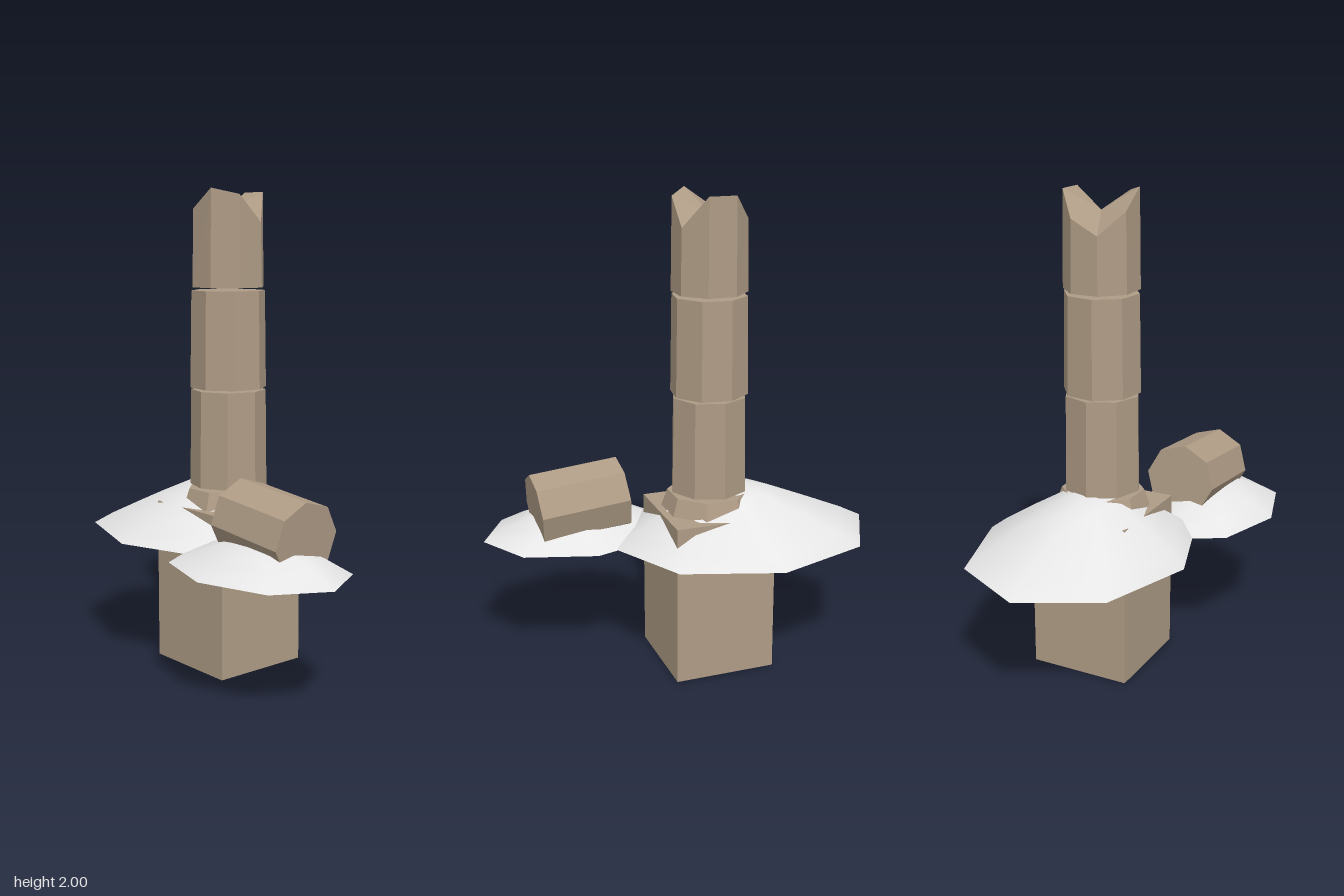
import * as THREE from 'three';

export function createModel() {
  const model = new THREE.Group();
  const stone = new THREE.MeshStandardMaterial({ color: 0xae9b85, flatShading: true, side: THREE.DoubleSide });
  stone.name = 'weathered stone';
  const snow = new THREE.MeshStandardMaterial({ color: 0xe6e6e6, side: THREE.DoubleSide });
  snow.name = 'snow';

  const CX = -0.095, CZ = -0.055, SIDES = 8;
  const rad = THREE.MathUtils.degToRad;

  function add(name, geometry, material, x, y, z) {
    const mesh = new THREE.Mesh(geometry, material);
    mesh.name = name;
    mesh.position.set(x, y, z);
    model.add(mesh);
    return mesh;
  }

  // Octagonal drum, turned by some degrees about its axis
  function drum(rTop, rBottom, height, turn) {
    return new THREE.CylinderGeometry(rTop, rBottom, height, SIDES, 1, false, rad(turn));
  }

  // Square pedestal, open underneath
  const block = new THREE.BoxGeometry(0.43, 0.685, 0.43);
  const faces = Array.from(block.index.array);
  faces.splice(18, 6);
  block.setIndex(faces);
  block.clearGroups();
  add('pedestal', block, stone, CX, 0.3425, CZ);

  // Flared foot and two whole column drums
  add('columnFoot', drum(0.172, 0.2, 0.08, 22.5), stone, CX, 0.717, CZ);
  add('lowerDrum', drum(0.157, 0.162, 0.405, 4), stone, CX, 0.9705, CZ);
  add('middleDrum', drum(0.155, 0.161, 0.405, 14), stone, CX, 1.3845, CZ);

  // Broken drum: each rim corner has its own height, the middle is sunken
  const rim = [2.0, 1.975, 1.865, 1.99, 1.99, 1.89, 1.83, 1.92];
  const base = 1.6, broken = drum(0.15, 0.155, 0.4, 22.5);
  const p = broken.attributes.position;
  for (let i = 0; i < p.count; i++) {
    if (p.getY(i) < 0) { p.setY(i, 0); continue; }
    const x = p.getX(i), z = p.getZ(i);
    const corner = Math.round((THREE.MathUtils.radToDeg(Math.atan2(x, z)) - 22.5) / 45 + 8) % 8;
    p.setY(i, (Math.hypot(x, z) < 0.01 ? 1.91 : rim[corner]) - base);
  }
  add('brokenDrum', broken, stone, CX, base, CZ);

  // Fallen drum lying on its side
  const fallen = add('fallenDrum', drum(0.155, 0.155, 0.378, 6), stone, 0.415, 0.698, 0.148);
  fallen.rotation.z = -Math.PI / 2 - 0.093;

  // Snow drift: octagonal rings shrinking from the rim towards a peak
  // profile: [distance from peak 0..1, height 0..1]
  function drift(name, cx, cz, rx, rz, peakX, peakZ, height, profile) {
    const pos = [], idx = [];
    for (const [t, h] of profile) {
      for (let i = 0; i < SIDES; i++) {
        const a = (i / SIDES) * Math.PI * 2;
        pos.push(
          peakX + (cx + rx * Math.sin(a) - peakX) * t,
          h * height,
          peakZ + (cz + rz * Math.cos(a) - peakZ) * t
        );
      }
    }
    const peak = profile.length * SIDES;
    pos.push(peakX, height, peakZ);
    for (let r = 0; r < profile.length; r++) {
      for (let i = 0; i < SIDES; i++) {
        const j = (i + 1) % SIDES, a = r * SIDES + i, b = r * SIDES + j;
        if (r === profile.length - 1) idx.push(a, b, peak);
        else idx.push(a, b, b + SIDES, a, b + SIDES, a + SIDES);
      }
    }
    const g = new THREE.BufferGeometry();
    g.setAttribute('position', new THREE.Float32BufferAttribute(pos, 3));
    g.setIndex(idx);
    g.computeVertexNormals();
    add(name, g, snow, 0, 0.545, 0);
  }

  drift('largeSnowDrift', -0.25, -0.06, 0.565, 0.453, -0.16, -0.06, 0.255,
    [[1, 0], [0.85, 0.2], [0.6, 0.48], [0.3, 0.79]]);
  drift('smallSnowDrift', 0.4, 0.205, 0.413, 0.305, 0.43, 0.205, 0.106,
    [[1, 0], [0.7, 0.5], [0.45, 0.85], [0.22, 0.97]]);

  return model;
}
